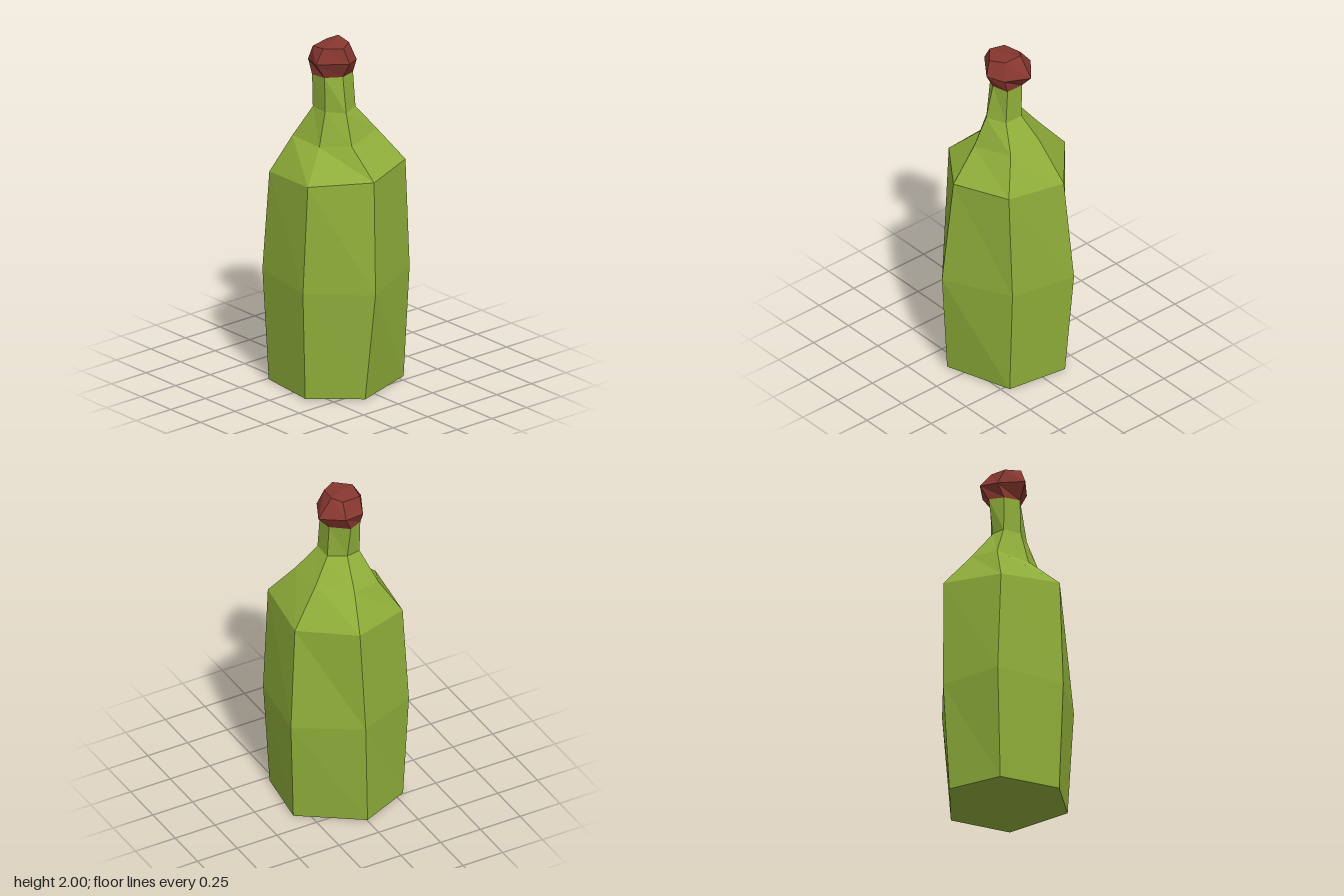
import * as THREE from 'three';

// Lofts six-sided [x, y, z] rings from bottom to top and closes both ends with fans.
function loft(rings, topCentreY) {
  const pos = [];
  const tri = (...pts) => pts.forEach(p => pos.push(...p));
  const centre = ring => [0, 1, 2].map(k => ring.reduce((s, p) => s + p[k], 0) / ring.length);
  const bottom = rings[0], top = rings[rings.length - 1];
  const bottomMid = centre(bottom), topMid = centre(top);
  if (topCentreY !== undefined) topMid[1] = topCentreY;
  for (let i = 0; i < 6; i++) {
    const j = (i + 1) % 6;
    for (let r = 0; r < rings.length - 1; r++) {
      const lo = rings[r], hi = rings[r + 1];
      tri(lo[i], lo[j], hi[i]);
      tri(lo[j], hi[j], hi[i]);
    }
    tri(bottomMid, bottom[j], bottom[i]);
    tri(topMid, top[i], top[j]);
  }
  const geo = new THREE.BufferGeometry();
  geo.setAttribute('position', new THREE.Float32BufferAttribute(pos, 3));
  geo.computeVertexNormals();
  return geo;
}

export function createModel() {
  const group = new THREE.Group();
  group.name = 'bottle';

  const glass = new THREE.MeshStandardMaterial({ color: 0x8fae3a, flatShading: true });
  glass.name = 'green glass';
  const wax = new THREE.MeshStandardMaterial({ color: 0x86372f, flatShading: true });
  wax.name = 'red wax';

  // Irregular hexagons: base, belly, shoulder, upper shoulder, neck base, neck top
  const neckTop = [[0.07, 1.81, 0.03], [0.045, 1.81, -0.065], [-0.06, 1.81, -0.065],
    [-0.135, 1.81, 0.03], [-0.09, 1.8, 0.115], [0.015, 1.81, 0.115]];
  const bodyRings = [
    [[0.34, 0.005, 0.10], [0.215, 0.005, -0.285], [-0.14, 0.005, -0.335],
      [-0.375, 0.005, 0], [-0.24, 0, 0.30], [0.12, 0.005, 0.345]],
    [[0.398, 0.63, 0.075], [0.225, 0.65, -0.32], [-0.175, 0.63, -0.37],
      [-0.40, 0.64, -0.025], [-0.27, 0.65, 0.32], [0.13, 0.63, 0.37]],
    [[0.345, 1.27, 0.04], [0.225, 1.29, -0.29], [-0.14, 1.25, -0.325],
      [-0.38, 1.27, -0.05], [-0.235, 1.23, 0.30], [0.13, 1.255, 0.335]],
    [[0.18, 1.44, 0.06], [0.115, 1.47, -0.175], [-0.095, 1.48, -0.165],
      [-0.23, 1.45, 0], [-0.18, 1.43, 0.18], [0.035, 1.42, 0.17]],
    [[0.11, 1.61, 0.04], [0.06, 1.61, -0.07], [-0.05, 1.61, -0.07],
      [-0.105, 1.61, 0.025], [-0.09, 1.61, 0.11], [0.02, 1.61, 0.115]],
    neckTop,
  ];
  const body = new THREE.Mesh(loft(bodyRings), glass);
  body.name = 'bottleBody';

  // Faceted stopper: starts at the neck rim, bulges, then narrows to a slightly sunken top
  const stopperRings = [
    neckTop,
    [[0.122, 1.90, 0.023], [0.07, 1.89, -0.07], [-0.065, 1.89, -0.135],
      [-0.163, 1.90, -0.015], [-0.13, 1.88, 0.11], [0.01, 1.90, 0.175]],
    [[0.088, 1.985, 0.04], [0.04, 1.99, -0.04], [-0.06, 2.0, -0.05],
      [-0.10, 1.98, 0], [-0.085, 1.97, 0.115], [0.015, 1.985, 0.125]],
  ];
  const stopper = new THREE.Mesh(loft(stopperRings, 1.99), wax);
  stopper.name = 'stopper';

  group.add(body, stopper);
  return group;
}
